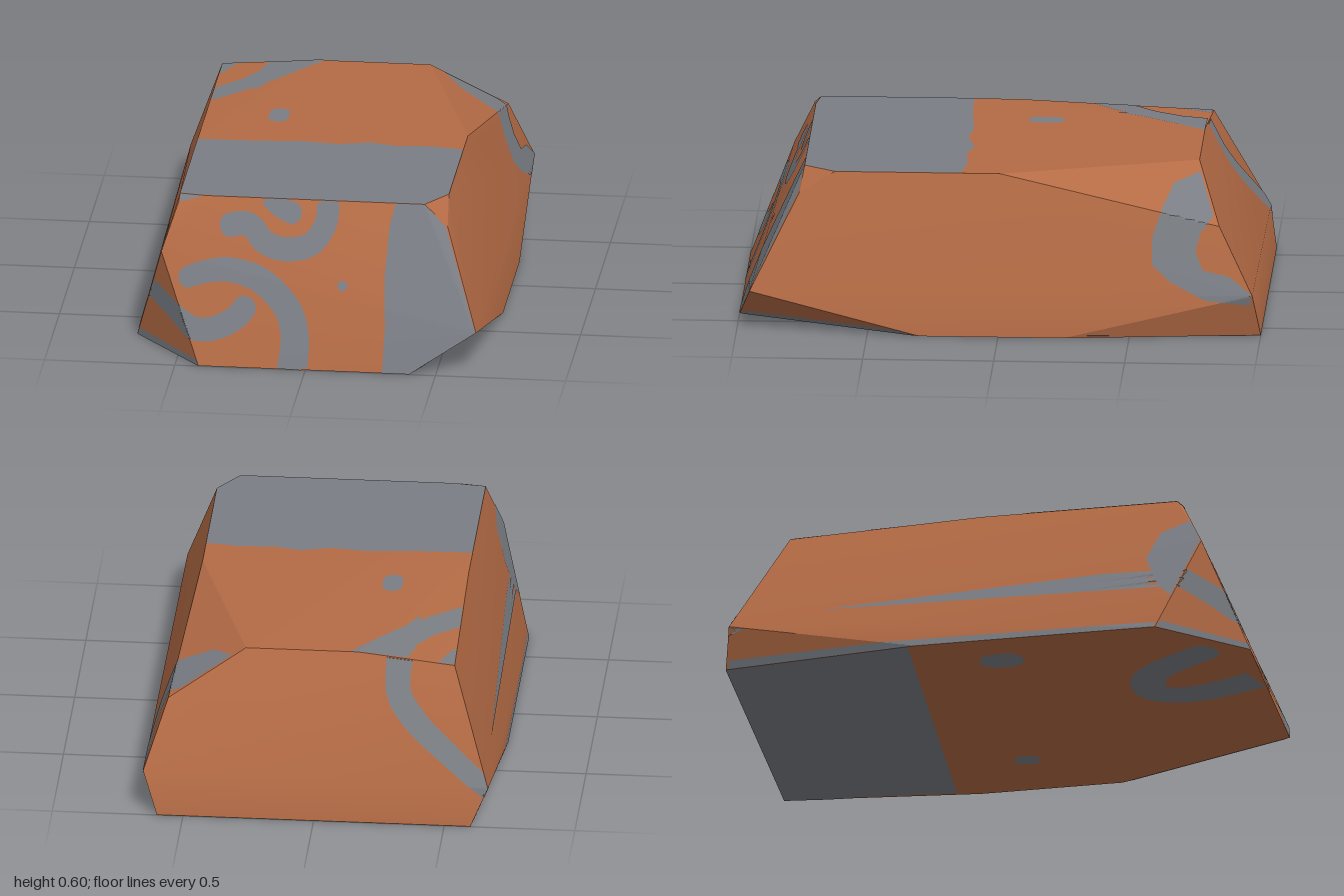
import * as THREE from 'three';
import { ConvexGeometry } from 'three/addons/geometries/ConvexGeometry.js';
import { toCreasedNormals } from 'three/addons/utils/BufferGeometryUtils.js';

// Corner points of the chiselled block
const TOP = [[-.51, .6, -.02], [-.15, .6, -.75], [.28, .6, -.75], [.51, .6, 0], [.51, .6, .63],
  [.43, .6, .75], [-.41, .6, .75], [-.51, .6, .735]];
const MIDDLE = [[-.52, .565, -.765], [-.512, .575, .76], [.57, .42, -.84], [.52, .52, .765],
  [-.57, .4, .84], [.65, .16, .95], [.655, .17, -.97], [-.665, .15, -.975]];
const BOTTOM = [[-.41, 0, 1], [.4, 0, 1], [.68, 0, .3], [.68, 0, -.25], [.6, 0, -1],
  [-.6, 0, -1], [-.68, 0, -.25], [-.68, 0, .68]];

const LIFT = 0.0015; // how far paint sits above the stone
// Projection directions: [axis of depth, sign, axis of u, axis of v]
const FRONT = [2, 1, 0, 1], BACK = [2, -1, 0, 1], LEFT = [0, 1, 2, 1], RIGHT = [0, -1, 2, 1],
  UP = [1, 1, 0, 2], DOWN = [1, -1, 0, 2];

function facePlanes(geometry) {
  const p = geometry.getAttribute('position');
  const v = (i) => new THREE.Vector3().fromBufferAttribute(p, i);
  const planes = [];
  for (let i = 0; i < p.count; i += 3) {
    const plane = new THREE.Plane().setFromCoplanarPoints(v(i), v(i + 1), v(i + 2));
    planes.push({ n: plane.normal.toArray(), d: -plane.constant + LIFT });
  }
  return planes;
}

// Lays a point (u, v) on the block along one direction, or gives null when it misses
function drape(planes, [k, s, iu, iv], u, v) {
  let depth = Infinity;
  for (const { n, d } of planes) {
    if (n[k] * s > 0.001) depth = Math.min(depth, (d - n[iu] * u - n[iv] * v) / (n[k] * s));
  }
  const out = [0, 0, 0];
  out[k] = s * depth; out[iu] = u; out[iv] = v;
  const hit = planes.every(({ n, d }) => n[0] * out[0] + n[1] * out[1] + n[2] * out[2] < d + 1e-4);
  return hit ? out : null;
}

// Point on a polyline, by even parameter
function along(points, t) {
  const f = t * (points.length - 1), i = Math.min(Math.floor(f), points.length - 2), r = f - i;
  return [0, 1].map((c) => points[i][c] * (1 - r) + points[i + 1][c] * r);
}

// Painted area between two outlines, kept to the cells that lie on the block
function strip(planes, dir, a, b, rows = 72, cols = 18) {
  const grid = [], pos = [];
  for (let i = 0; i <= rows; i++) {
    const p = along(a, i / rows), q = along(b, i / rows);
    grid.push(Array.from({ length: cols + 1 }, (_, j) =>
      drape(planes, dir, p[0] + (q[0] - p[0]) * j / cols, p[1] + (q[1] - p[1]) * j / cols)));
  }
  for (let i = 0; i < rows; i++) {
    for (let j = 0; j < cols; j++) {
      const [o, r, w, x] = [grid[i][j], grid[i][j + 1], grid[i + 1][j], grid[i + 1][j + 1]];
      if (o && w && r) pos.push(...o, ...w, ...r);
      if (r && w && x) pos.push(...r, ...w, ...x);
    }
  }
  const g = new THREE.BufferGeometry();
  g.setAttribute('position', new THREE.Float32BufferAttribute(pos, 3));
  g.computeVertexNormals();
  return g;
}

// Painted stroke along a curve; caps says which ends are rounded
function stroke(planes, dir, points, w0, w1, caps = [0, 0]) {
  const curve = new THREE.SplineCurve(points.map((p) => new THREE.Vector2(...p)));
  const len = curve.getLength(), a = [], b = [], n = 72;
  const round = (dist, r) => (dist >= r ? 1 : Math.sqrt(Math.max(0, 1 - (1 - dist / r) ** 2)));
  for (let i = 0; i <= n; i++) {
    const t = i / n, p = curve.getPointAt(t), g = curve.getTangentAt(t);
    let h = (w0 + (w1 - w0) * t) / 2;
    if (caps[0]) h *= round(t * len, w0 / 2);
    if (caps[1]) h *= round((1 - t) * len, w1 / 2);
    a.push([p.x - g.y * h, p.y + g.x * h]);
    b.push([p.x + g.y * h, p.y - g.x * h]);
  }
  return strip(planes, dir, a, b);
}

export function createModel() {
  const group = new THREE.Group();
  const clay = new THREE.MeshStandardMaterial({ name: 'clay brown', color: 0xb46b45 });
  const grey = new THREE.MeshStandardMaterial({ name: 'slate grey', color: 0x7a7e84, side: THREE.DoubleSide });
  const add = (name, geometry, material) => {
    const mesh = new THREE.Mesh(geometry, material);
    mesh.name = name;
    group.add(mesh);
  };

  // Stone body
  const hull = new ConvexGeometry([...TOP, ...MIDDLE, ...BOTTOM].map((p) => new THREE.Vector3(...p)));
  const planes = facePlanes(hull);
  hull.deleteAttribute('normal');
  add('stoneBody', toCreasedNormals(hull, 0.4), clay);

  const area = (name, dir, a, b) => add(name, strip(planes, dir, a, b), grey);
  const line = (name, dir, pts, w0, w1, caps) => add(name, stroke(planes, dir, pts, w0, w1, caps), grey);
  const dot = (name, dir, x, y, w, h) =>
    line(name, dir, [[x, y - h / 2], [x, y], [x, y + h / 2]], w, w, [1, 1]);

  // Front: broad band, swirls, a dot and corner slivers
  area('frontBand', FRONT, [[.295, 0], [.3, .16], [.29, .34], [.3, .52], [.32, .6]],
    [[.4, 0], [.648, .16], [.581, .34], [.514, .52], [.43, .6]]);
  line('frontUpperSwirl', FRONT, [[.06, .6], [.055, .52], [0, .445], [-.1, .425], [-.18, .45],
    [-.22, .495], [-.27, .51], [-.35, .49]], .085, .085, [0, 1]);
  line('frontUpperHook', FRONT, [[-.17, .61], [-.12, .57], [-.04, .54]], .07, .08, [0, 1]);
  line('frontLargeSwirl', FRONT, [[-.5, .3], [-.4, .335], [-.3, .345], [-.18, .31], [-.08, .22],
    [-.045, .12], [-.05, 0]], .075, .115, [1, 0]);
  line('frontLowerSwirl', FRONT, [[-.22, .25], [-.27, .18], [-.36, .135], [-.44, .135],
    [-.52, .18], [-.63, .235]], .09, .08, [1, 0]);
  dot('frontDot', FRONT, .13, .305, .04, .035);
  area('frontCornerEdge', FRONT, [[-.678, 0], [-.41, 0]], [[-.67, .03], [-.42, .022]]);
  area('frontTopSliver', FRONT, [[-.511, .576], [-.412, .6]], [[-.51, .6], [-.412, .6]]);

  // Top: broad band, slanted streak, corner patch and a dot
  area('topBand', UP, [[-.51, .15], [-.3, .145], [-.1, .13], [.03, .145], [.15, .115], [.25, .14], [.38, .13], [.51, .15]],
    [[-.51, .735], [-.36, .75], [-.22, .75], [-.08, .75], [.07, .75], [.25, .75], [.43, .75], [.51, .63]]);
  area('topStreak', UP, [[-.515, -.46], [-.42, -.55], [-.36, -.65], [-.34, -.75]],
    [[-.51, -.3], [-.4, -.4], [-.27, -.55], [-.12, -.75]]);
  area('topCornerPatch', UP, [[-.516, -.64], [-.519, -.76]], [[-.505, -.64], [-.455, -.76]]);
  dot('topDot', UP, -.23, -.14, .075, .14);

  // Back: curved streak that meets the top one
  line('backStreak', BACK, [[-.67, .14], [-.5, .27], [-.38, .37], [-.31, .47], [-.31, .598]], .07, .1);

  // Left flank: large curl at the rear, thin edge at the front
  area('leftCurl', LEFT,
    [[-.66, .545], [-.62, .48], [-.585, .38], [-.585, .28], [-.65, .22], [-.79, .15], [-.96, .13]],
    [[-.757, .57], [-.815, .45], [-.77, .4], [-.75, .33], [-.78, .26], [-.88, .24], [-.965, .175]]);
  area('leftFrontEdge', LEFT, [[.985, 0], [.32, 0]], [[.98, .022], [.39, .022]]);

  // Right flank: patch by the front corner, thin edge along the foot
  area('rightPatch', RIGHT, [[.79, .5], [.68, .45], [.63, .33], [.68, .2], [.73, .15]],
    [[.79, .5], [.82, .44], [.835, .4], [.785, .28], [.735, .15]]);
  area('rightFootEdge', RIGHT, [[-.99, 0], [.675, 0]], [[-.985, .03], [.68, .022]]);

  // Underside: broad band, hook and dots
  area('undersideBand', DOWN, [[-.6, -1], [0, -1], [.6, -1]], [[-.678, -.28], [0, -.31], [.675, -.34]]);
  line('undersideHook', DOWN, [[-.14, .97], [-.06, .73], [-.1, .57], [-.27, .6], [-.45, .87]], .14, .13, [0, 1]);
  dot('undersideDot', DOWN, -.49, .05, .12, .17);
  dot('undersideSmallDot', DOWN, .41, -.02, .07, .1);

  return group;
}
